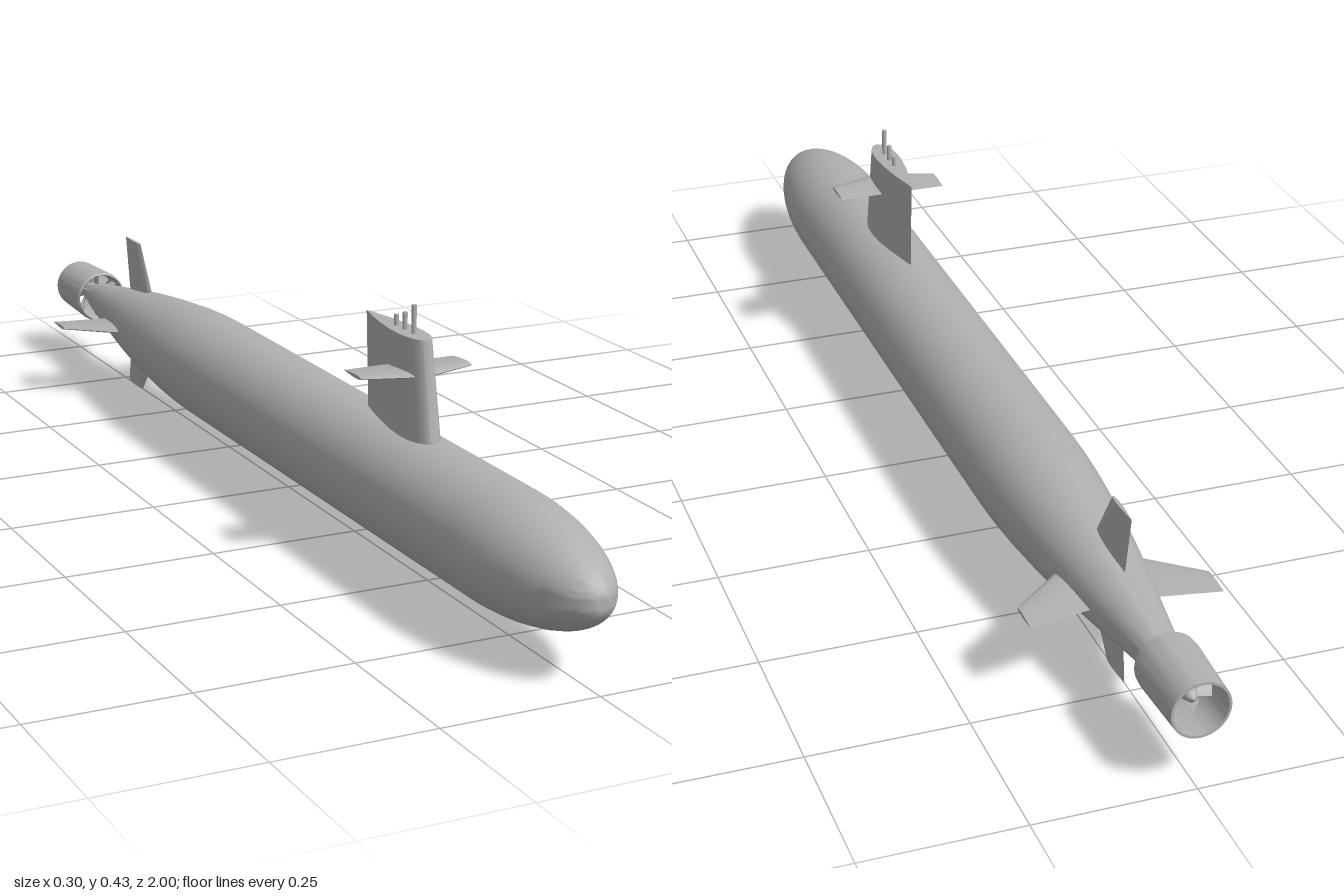
import * as THREE from 'three';
import { toCreasedNormals } from 'three/addons/utils/BufferGeometryUtils.js';

const AXIS_Y = 0.133;

// Half thickness of a streamlined section, u from 0 (nose) to 1 (tail)
const foilShape = u => Math.max(0,
  2.969 * Math.sqrt(u) - 1.26 * u - 3.516 * u ** 2 + 2.843 * u ** 3 - 1.036 * u ** 4);

// Tapered foil rising along +y; each section is { y, lead, tail, half }
function foil(sections, n = 20) {
  const pos = [], index = [];
  for (const s of sections) {
    for (let i = 0; i < n; i++) {
      const a = (i / n) * Math.PI * 2, u = (1 - Math.cos(a)) / 2;
      pos.push(Math.sign(Math.sin(a)) * s.half * foilShape(u), s.y, s.lead + (s.tail - s.lead) * u);
    }
  }
  for (let k = 0; k < sections.length - 1; k++) {
    for (let i = 0; i < n; i++) {
      const a = k * n + i, b = k * n + (i + 1) % n;
      index.push(a, b, b + n, a, b + n, a + n);
    }
  }
  const tip = sections[sections.length - 1], start = (sections.length - 1) * n;
  const centre = pos.length / 3;
  pos.push(0, tip.y, (tip.lead + tip.tail) / 2);
  for (let i = 0; i < n; i++) index.push(centre, start + i, start + (i + 1) % n);
  const g = new THREE.BufferGeometry();
  g.setAttribute('position', new THREE.Float32BufferAttribute(pos, 3));
  g.setIndex(index);
  return toCreasedNormals(g, 0.7);
}

// Body of revolution about z from [radius, z] points running from stern to bow
function revolve(points, sides = 40) {
  const g = new THREE.LatheGeometry(points.map(p => new THREE.Vector2(...p)), sides);
  return toCreasedNormals(g.rotateX(Math.PI / 2), 0.6);
}

export function createModel() {
  const model = new THREE.Group();
  model.name = 'submarine';
  const grey = new THREE.MeshStandardMaterial({ color: 0xb0b0b0 });
  grey.name = 'hull grey';

  function add(name, geometry, y = 0, rotZ = 0) {
    const mesh = new THREE.Mesh(geometry, grey);
    mesh.name = name;
    mesh.position.y = y;
    mesh.rotation.z = rotZ;
    model.add(mesh);
    return mesh;
  }

  // Hull: slim tapered stern, long cylinder, elliptical bow
  const profile = [
    [0, -0.9], [0.022, -0.9], [0.031, -0.86], [0.043, -0.78], [0.056, -0.7], [0.069, -0.61],
    [0.079, -0.52], [0.087, -0.43], [0.091, -0.36], [0.092, -0.31], [0.092, 0.2],
  ];
  for (let i = 0; i <= 16; i++) {
    const a = (i / 16) * Math.PI / 2;
    profile.push([i === 16 ? 0 : 0.092 * Math.cos(a), 0.73 + 0.27 * Math.sin(a)]);
  }
  add('hull', revolve(profile), AXIS_Y);

  // Sail
  add('sail', foil([
    { y: 0.19, lead: 0.527, tail: 0.297, half: 0.025 },
    { y: 0.38, lead: 0.49, tail: 0.287, half: 0.0215 },
  ], 28));

  // Sail planes
  for (const side of [1, -1]) {
    add(side > 0 ? 'leftSailPlane' : 'rightSailPlane', foil([
      { y: 0.01, lead: 0.484, tail: 0.398, half: 0.005 },
      { y: 0.095, lead: 0.457, tail: 0.398, half: 0.003 },
    ]), 0.322, -side * Math.PI / 2);
  }

  // Masts
  for (const [z, top] of [[0.445, 0.425], [0.416, 0.407], [0.388, 0.397]]) {
    const mast = add('mast', new THREE.CylinderGeometry(0.004, 0.004, top - 0.36, 12), (top + 0.36) / 2);
    mast.position.z = z;
  }

  // Cross-shaped tail fins
  const fins = [
    ['upperRudder', 0, 0.153, -0.662, -0.735],
    ['lowerRudder', Math.PI, 0.133, -0.66, -0.728],
    ['leftSternPlane', -Math.PI / 2, 0.152, -0.677, -0.735],
    ['rightSternPlane', Math.PI / 2, 0.152, -0.677, -0.735],
  ];
  for (const [name, angle, span, lead, tail] of fins) {
    add(name, foil([
      { y: 0.03, lead: -0.575, tail: -0.712, half: 0.006 },
      { y: 0.07, lead: -0.61, tail: -0.72, half: 0.0055 },
      { y: span, lead, tail, half: 0.003 },
    ]), AXIS_Y, angle);
  }

  // Propulsor duct: open ring with a thin wall
  add('duct', revolve([
    [0.046, -1], [0.05, -0.89], [0.049, -0.875], [0.046, -0.872],
    [0.043, -0.88], [0.042, -1], [0.046, -1],
  ]), AXIS_Y);

  // Rotor hub
  add('rotorHub', revolve([[0, -0.975], [0.008, -0.968], [0.014, -0.95], [0.018, -0.93], [0.022, -0.895]], 24), AXIS_Y);

  // Rotor blades and fixed vanes holding the duct
  const ring = (name, count, z, chord, pitch) => {
    for (let i = 0; i < count; i++) {
      const g = foil([
        { y: 0.01, lead: chord / 2, tail: -chord / 2, half: 0.002 },
        { y: 0.0425, lead: chord / 2, tail: -chord / 2, half: 0.0015 },
      ], 12).rotateY(pitch).translate(0, 0, z);
      add(name, g, AXIS_Y, (i / count) * Math.PI * 2);
    }
  };
  ring('rotorBlade', 7, -0.94, 0.026, 0.8);
  ring('ductVane', 6, -0.9, 0.024, 0);

  return model;
}
